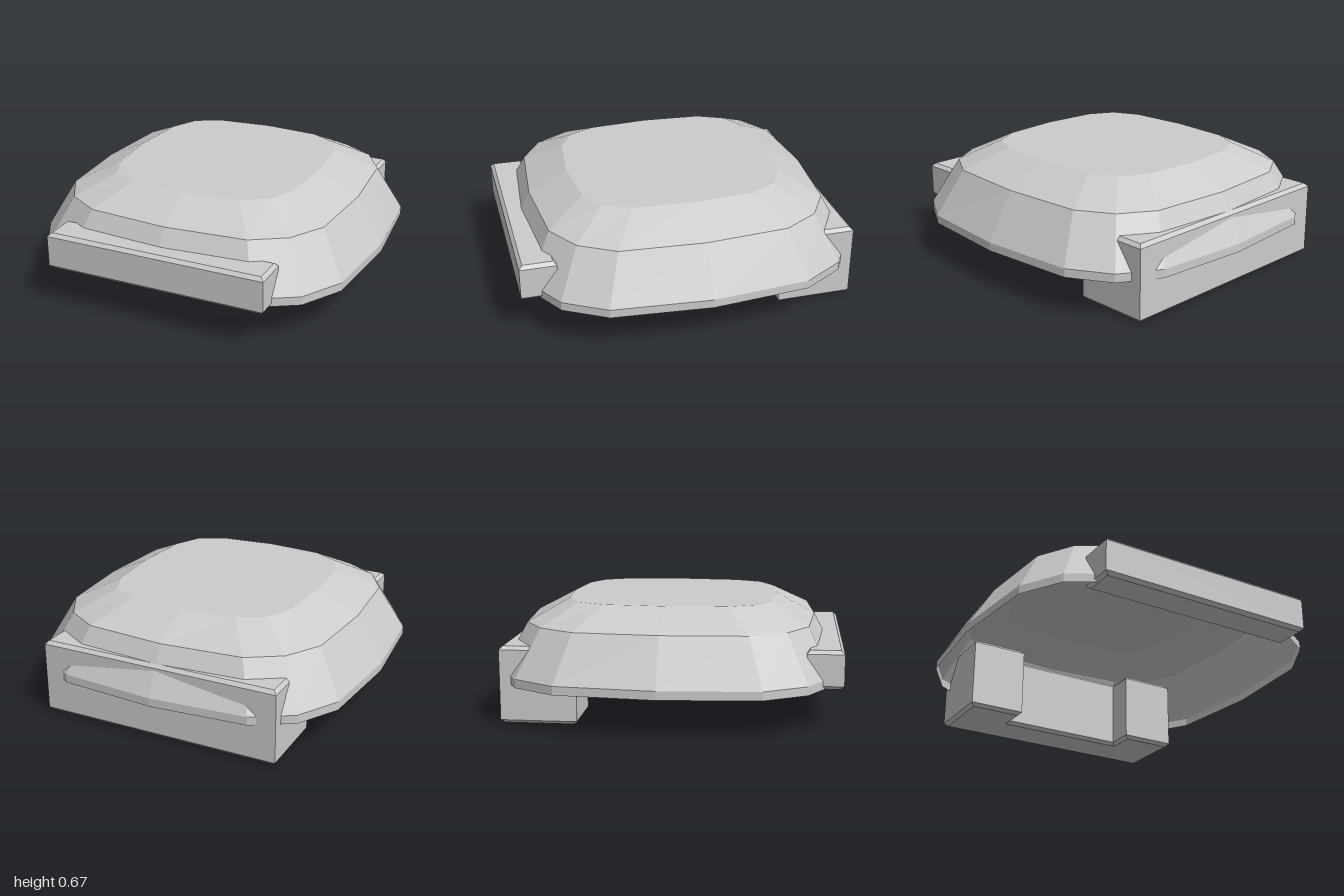
import * as THREE from 'three';

const grey = new THREE.MeshStandardMaterial({ color: 0xcccccc, flatShading: true });
const greyThin = new THREE.MeshStandardMaterial({ color: 0xcccccc, flatShading: true, side: THREE.DoubleSide });

// Mirror a quarter outline [x, z] (from +x round to +z) into a closed ring
function ring(quarter, y, zMid = -0.01) {
  const half = [...quarter, ...quarter.slice(0, -1).reverse().map(([x, z]) => [-x, z])];
  const full = [...half, ...half.slice(1, -1).reverse().map(([x, z]) => [x, -z])];
  return full.map(([x, z]) => [x, y, z + zMid]);
}

// Hollow faceted dome, open underneath, lofted through stacked rings
function dome() {
  const rim = [[0.99, 0], [0.94, 0.57], [0.8, 0.81], [0.57, 0.945], [0, 0.99]];
  const shoulder = [[0.83, 0], [0.795, 0.485], [0.675, 0.69], [0.48, 0.81], [0, 0.85]];
  const crown = [[0.58, 0], [0.555, 0.35], [0.48, 0.51], [0.33, 0.59], [0, 0.62]];
  const rings = [ring(rim, 0.225), ring(rim, 0.275), ring(shoulder, 0.545), ring(crown, 0.665)];
  const n = rings[0].length;
  const positions = rings.flat(2);
  const index = [];
  for (let r = 0; r < rings.length - 1; r++) {
    for (let i = 0; i < n; i++) {
      const a = r * n + i, b = r * n + (i + 1) % n;
      index.push(a, a + n, b, b, a + n, b + n);
    }
  }
  // flat top
  const centre = rings.length * n, last = centre - n;
  positions.push(0, 0.665, -0.01);
  for (let i = 0; i < n; i++) index.push(centre, last + (i + 1) % n, last + i);

  const indexed = new THREE.BufferGeometry();
  indexed.setAttribute('position', new THREE.Float32BufferAttribute(positions, 3));
  indexed.setIndex(index);
  const geometry = indexed.toNonIndexed();
  geometry.computeVertexNormals();
  return new THREE.Mesh(geometry, greyThin);
}

// Block with a plan outline [x, z] and chamfered top and bottom edges
function block(outline, bottom, top) {
  const c = 0.02;
  const shape = new THREE.Shape(outline.map(([x, z]) => new THREE.Vector2(x, z)));
  const geometry = new THREE.ExtrudeGeometry(shape, {
    depth: top - bottom - 2 * c,
    bevelThickness: c, bevelSize: c, bevelOffset: -c, bevelSegments: 1,
  });
  geometry.rotateX(Math.PI / 2);
  geometry.translate(0, top - c, 0);
  return new THREE.Mesh(geometry, grey);
}

export function createModel() {
  const model = new THREE.Group();

  const shell = dome();
  shell.name = 'domeShell';

  // straight bar across the front rim
  const frontBar = block([[-0.66, 0.79], [0.66, 0.79], [0.66, 1], [-0.66, 1]], 0.225, 0.445);
  frontBar.name = 'frontBar';

  // U-shaped foot under the back rim, its two arms reaching forward
  const backFoot = block([
    [-0.725, -0.93], [0.725, -0.93], [0.725, -0.49], [0.385, -0.49],
    [0.385, -0.66], [-0.385, -0.66], [-0.385, -0.49], [-0.725, -0.49],
  ], 0, 0.445);
  backFoot.name = 'backFoot';

  model.add(shell, frontBar, backFoot);
  return model;
}
